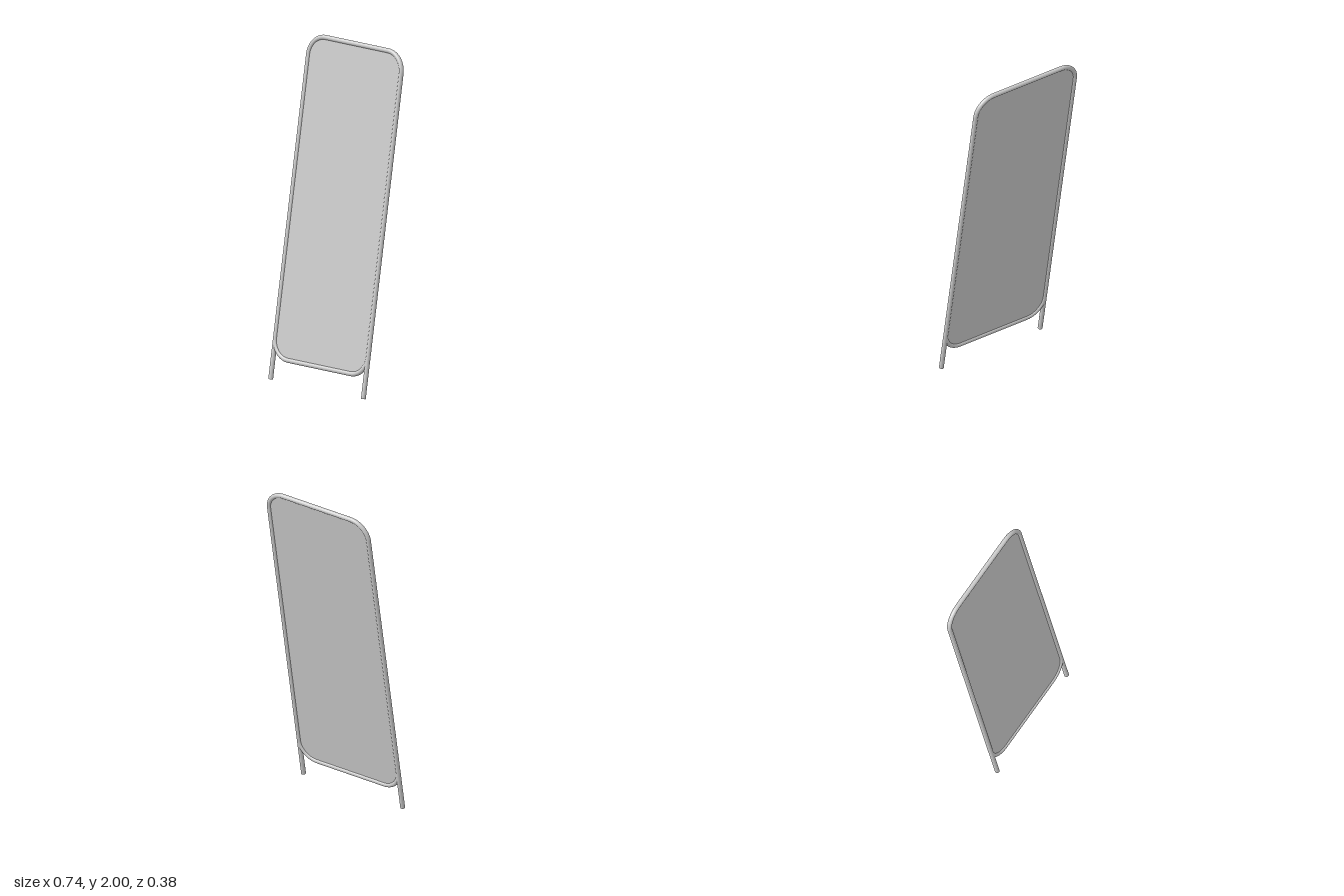
import * as THREE from 'three';

const TILT = THREE.MathUtils.degToRad(10);
const R = 0.014;              // tube radius
const X = 0.356;              // side tube centreline
const TOP = 2.014;            // top rail, measured along the lean
const BOTTOM = 0.128;         // bottom rail
const BEND = 0.116;           // corner bend radius
const FOOT = 0.1;             // foot sleeve length

export function createModel() {
  const model = new THREE.Group();
  model.name = 'leaningMirror';
  const material = new THREE.MeshStandardMaterial({ color: 0xcccccc });

  const add = (name, geometry, x = 0, y = 0, z = 0) => {
    const mesh = new THREE.Mesh(geometry, material);
    mesh.name = name;
    mesh.position.set(x, y, z);
    model.add(mesh);
    return mesh;
  };

  // Side tubes with feet
  for (const [side, s] of [['left', 1], ['right', -1]]) {
    const length = TOP - BEND - FOOT;
    add(side + 'Tube', new THREE.CylinderGeometry(R, R, length, 32), s * X, FOOT + length / 2);
    add(side + 'Foot', new THREE.CylinderGeometry(R, R, FOOT, 32), s * X, FOOT / 2);
  }

  // Horizontal rails
  for (const [name, y] of [['topRail', TOP], ['bottomRail', BOTTOM]]) {
    const rail = add(name, new THREE.CylinderGeometry(R, R, 2 * (X - BEND), 32), 0, y);
    rail.rotation.z = Math.PI / 2;
  }

  // Quarter bends, counter-clockwise from the upper left of the model
  const cx = X - BEND;
  const corners = [[cx, TOP - BEND], [-cx, TOP - BEND], [-cx, BOTTOM + BEND], [cx, BOTTOM + BEND]];
  corners.forEach(([x, y], i) => {
    const bend = add('cornerBend', new THREE.TorusGeometry(BEND, R, 32, 24, Math.PI / 2), x, y);
    bend.rotation.z = i * Math.PI / 2;
  });

  // Thin rounded mirror panel, its edge set into the frame
  const panel = new THREE.Shape();
  const r = BEND - 0.008;
  corners.forEach(([x, y], i) => {
    panel.absarc(x, y, r, i * Math.PI / 2, (i + 1) * Math.PI / 2, false);
  });
  panel.closePath();
  const depth = 0.01;
  add('mirrorPanel', new THREE.ExtrudeGeometry(panel, { depth, bevelEnabled: false, curveSegments: 24 }), 0, 0, -depth / 2);

  // Lean the whole frame back, feet on the ground
  model.rotation.x = -TILT;
  model.position.set(0, R * Math.sin(TILT), TOP * Math.sin(TILT) / 2);

  const root = new THREE.Group();
  root.name = 'floorMirror';
  root.add(model);
  return root;
}
